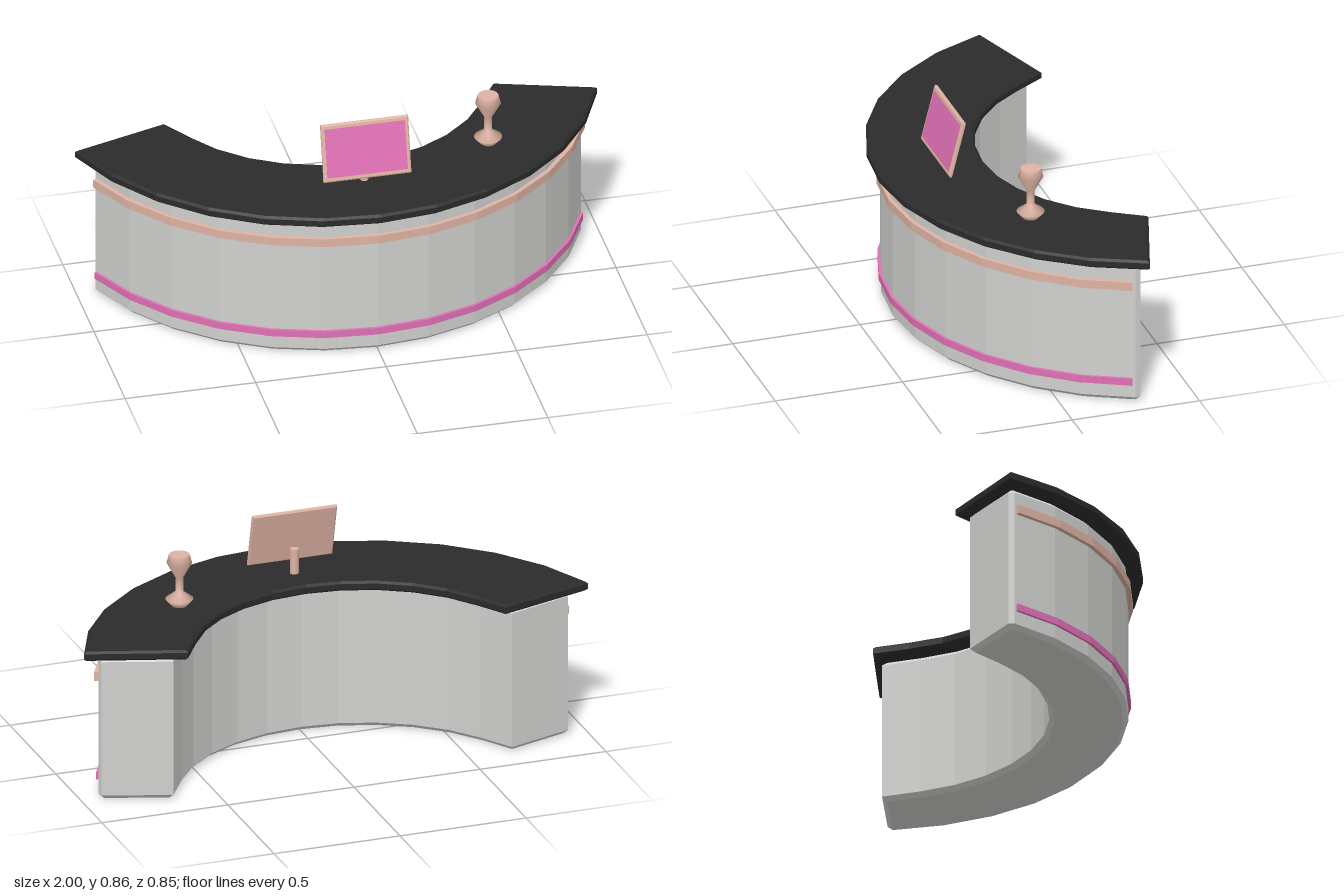
import * as THREE from 'three';

const CENTER_Z = -0.625; // centre of all the arcs

// Point on an arc around the counter's centre; angle 0 faces the front
const onArc = (r, deg) => {
  const a = THREE.MathUtils.degToRad(deg);
  return new THREE.Vector2(r * Math.sin(a), CENTER_Z + r * Math.cos(a));
};

// Symmetric curved plan outline: outer arc, end corners, inner arc back
function outline({ outer, inner, angles, outerEnd, innerEnd }) {
  const half = [
    ...angles.map((d) => onArc(outer.r, d)),
    outerEnd, innerEnd,
    ...angles.slice(0, inner.count).reverse().map((d) => onArc(inner.r, d)),
  ];
  const mirrored = half.slice(1, -1).reverse().map((p) => new THREE.Vector2(-p.x, p.y));
  return [...half, ...mirrored];
}

// Plan outline (x, z) raised from y0 to y1 with chamfered rims
function slab(points, y0, y1, bevelSize, bevelHeight) {
  const geo = new THREE.ExtrudeGeometry(new THREE.Shape(points), {
    depth: y1 - y0 - 2 * bevelHeight,
    bevelEnabled: bevelSize > 0,
    bevelSize, bevelOffset: -bevelSize,
    bevelThickness: bevelHeight, bevelSegments: 1,
  });
  geo.rotateX(Math.PI / 2);
  geo.translate(0, y1 - bevelHeight, 0);
  return geo;
}

const steps = (count, size) => Array.from({ length: count }, (_, i) => i * size);

export function createModel() {
  const group = new THREE.Group();
  group.name = 'receptionCounter';

  const material = (name, color) => {
    const m = new THREE.MeshStandardMaterial({ color });
    m.name = name;
    return m;
  };
  const grey = material('light grey', 0xd0d0ce);
  const black = material('black', 0x2b2b2b);
  const rose = material('rose gold', 0xdeb3a3);
  const pink = material('pink', 0xe070b6);

  const add = (name, geo, mat, parent = group) => {
    const mesh = new THREE.Mesh(geo, mat);
    mesh.name = name;
    parent.add(mesh);
    return mesh;
  };

  // Curved body
  const bodyPlan = outline({
    outer: { r: 0.995 }, inner: { r: 0.7, count: 6 },
    angles: steps(7, 11.53),
    outerEnd: new THREE.Vector2(0.925, -0.293),
    innerEnd: new THREE.Vector2(0.672, -0.378),
  });
  add('body', slab(bodyPlan, 0, 0.573, 0.018, 0.017), grey);

  // Worktop
  const topPlan = outline({
    outer: { r: 1.049 }, inner: { r: 0.642, count: 6 },
    angles: steps(6, 12),
    outerEnd: new THREE.Vector2(1, -0.305),
    innerEnd: new THREE.Vector2(0.63, -0.423),
  });
  add('worktop', slab(topPlan, 0.573, 0.611, 0.01, 0.008), black);

  // Trim bands around the front
  const band = (name, r, y0, y1, mat) => {
    const plan = outline({
      outer: { r }, inner: { r: 0.975, count: 6 },
      angles: steps(6, 11.43),
      outerEnd: onArc(r, 68.6), innerEnd: onArc(0.975, 68.6),
    });
    add(name, slab(plan, y0, y1, 0, 0), mat);
  };
  band('upperTrim', 1.012, 0.469, 0.502, rose);
  band('lowerTrim', 1.005, 0.07, 0.098, pink);

  // Monitor, tilted back, with a thin screen plate
  const monitor = new THREE.Group();
  monitor.name = 'monitor';
  monitor.position.set(0, 0.755, 0.172);
  monitor.rotation.x = -0.25;
  group.add(monitor);
  const w = 0.168, h = 0.112;
  const panel = new THREE.Shape([[-w, -h], [w, -h], [w, h], [-w, h]].map((p) => new THREE.Vector2(...p)));
  const frame = new THREE.ExtrudeGeometry(panel, {
    depth: 0.008, bevelSize: 0.005, bevelOffset: -0.005, bevelThickness: 0.004, bevelSegments: 1,
  });
  frame.translate(0, 0, -0.004);
  add('monitorFrame', frame, rose, monitor);
  add('screen', new THREE.BoxGeometry(0.308, 0.19, 0.004), pink, monitor).position.z = 0.008;

  // Monitor stand
  add('monitorStand', new THREE.CylinderGeometry(0.017, 0.017, 0.099, 12), rose).position.set(0, 0.6595, 0.148);

  // Turned ornament
  const profile = [
    [0, 0], [0.028, 0], [0.053, 0.028], [0.015, 0.057],
    [0.015, 0.114], [0.048, 0.173], [0.039, 0.206],
  ].map((p) => new THREE.Vector2(...p));
  const ornament = new THREE.Group();
  ornament.name = 'ornament';
  ornament.position.set(0.51, 0.611, 0);
  group.add(ornament);
  add('ornamentBody', new THREE.LatheGeometry(profile, 16), rose, ornament);
  const lid = new THREE.CircleGeometry(0.039, 16);
  lid.rotateX(-Math.PI / 2);
  add('ornamentTop', lid, rose, ornament).position.y = 0.206;

  return group;
}
